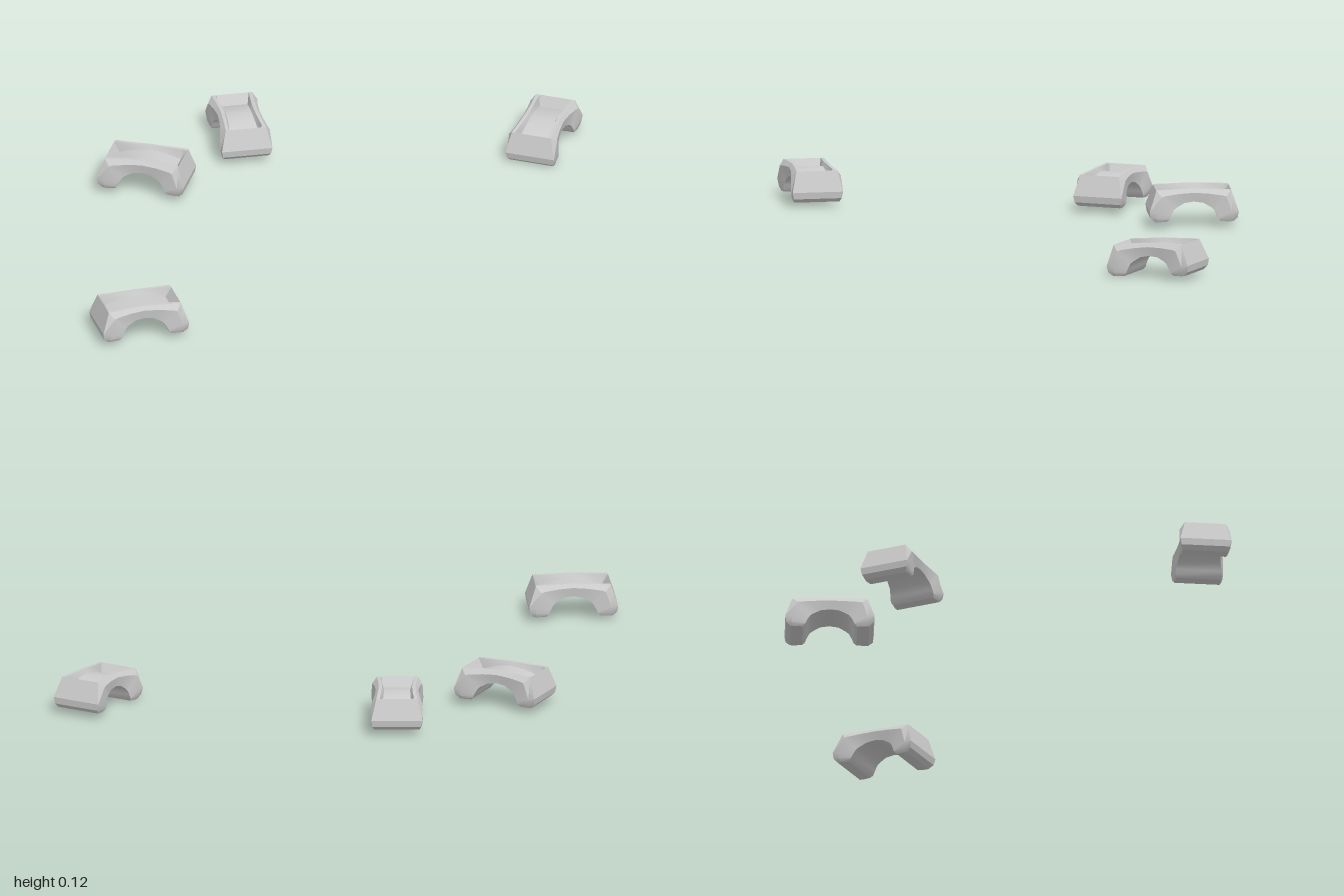
import * as THREE from 'three';
import { toCreasedNormals } from 'three/addons/utils/BufferGeometryUtils.js';

// Half of the arch, foot to crown. Each station:
// underside x, y, half width | outer x, y, half width | bulge half width | hollow floor x, y
const half = [
  [0.082, 0.0, 0.066, 0.118, 0.0, 0.068, 0.07, 0.118, 0.0],
  [0.074, 0.008, 0.07, 0.131, 0.012, 0.073, 0.075, 0.131, 0.012],
  [0.068, 0.022, 0.069, 0.134, 0.032, 0.077, 0.078, 0.134, 0.032],
  [0.06, 0.036, 0.066, 0.113, 0.094, 0.062, 0.076, 0.113, 0.094],
  [0.052, 0.043, 0.064, 0.102, 0.095, 0.061, 0.073, 0.095, 0.064],
  [0.028, 0.056, 0.061, 0.05, 0.097, 0.057, 0.067, 0.05, 0.08],
  [0, 0.06, 0.06, 0, 0.099, 0.055, 0.064, 0, 0.088],
];

// Ring of points around one station, from the -z side over the top to +z
function ring([ux, uy, uw, ox, oy, ow, mw, fx, fy], s) {
  const t = 0.7;
  const side = [
    [ux, uy, uw],
    [ux + (ox - ux) * t, uy + (oy - uy) * t, mw],
    [ox, oy, ow],
    [ox, oy, ow - 0.01],
    [fx, fy, ow - 0.016],
  ];
  return [
    ...side.map(([x, y, z]) => [x * s, y, -z]),
    ...side.reverse().map(([x, y, z]) => [x * s, y, z]),
  ];
}

function archGeometry() {
  const rings = [
    ...half.map((h) => ring(h, 1)),
    ...half.slice(0, -1).reverse().map((h) => ring(h, -1)),
  ];
  const n = rings[0].length;
  const last = (rings.length - 1) * n;
  const index = [];
  for (let i = 0; i < rings.length - 1; i++) {
    for (let j = 0; j < n; j++) {
      const k = (j + 1) % n;
      const a = i * n + j, b = i * n + k, c = a + n, d = b + n;
      index.push(a, c, b, b, c, d);
    }
  }
  // Soles of the two feet
  for (let j = 1; j < n - 1; j++) {
    index.push(0, j, j + 1, last, last + j + 1, last + j);
  }
  const geo = new THREE.BufferGeometry();
  geo.setAttribute('position', new THREE.Float32BufferAttribute(rings.flat(2), 3));
  geo.setIndex(index);
  return toCreasedNormals(geo, 0.45);
}

export function createModel() {
  const model = new THREE.Group();
  model.name = 'archSet';
  const geometry = archGeometry();
  const material = new THREE.MeshStandardMaterial({ color: 0xcccccc });

  // name, x, y, z, turn, tilt
  const places = [
    ['frontLeftArch', 0.33, 0.017, 0.845, 1.08, 0],
    ['backLeftArch', 0.33, 0.011, -0.847, -1.1, -0.07],
    ['frontRightArch', -0.312, 0.021, 0.193, 0.55, 0],
    ['backRightArch', -0.312, 0.021, -0.193, -0.58, 0],
  ];
  for (const [name, x, y, z, turn, tilt] of places) {
    const arch = new THREE.Mesh(geometry, material);
    arch.name = name;
    arch.position.set(x, y, z);
    arch.rotation.set(0, turn, tilt);
    model.add(arch);
  }
  return model;
}
